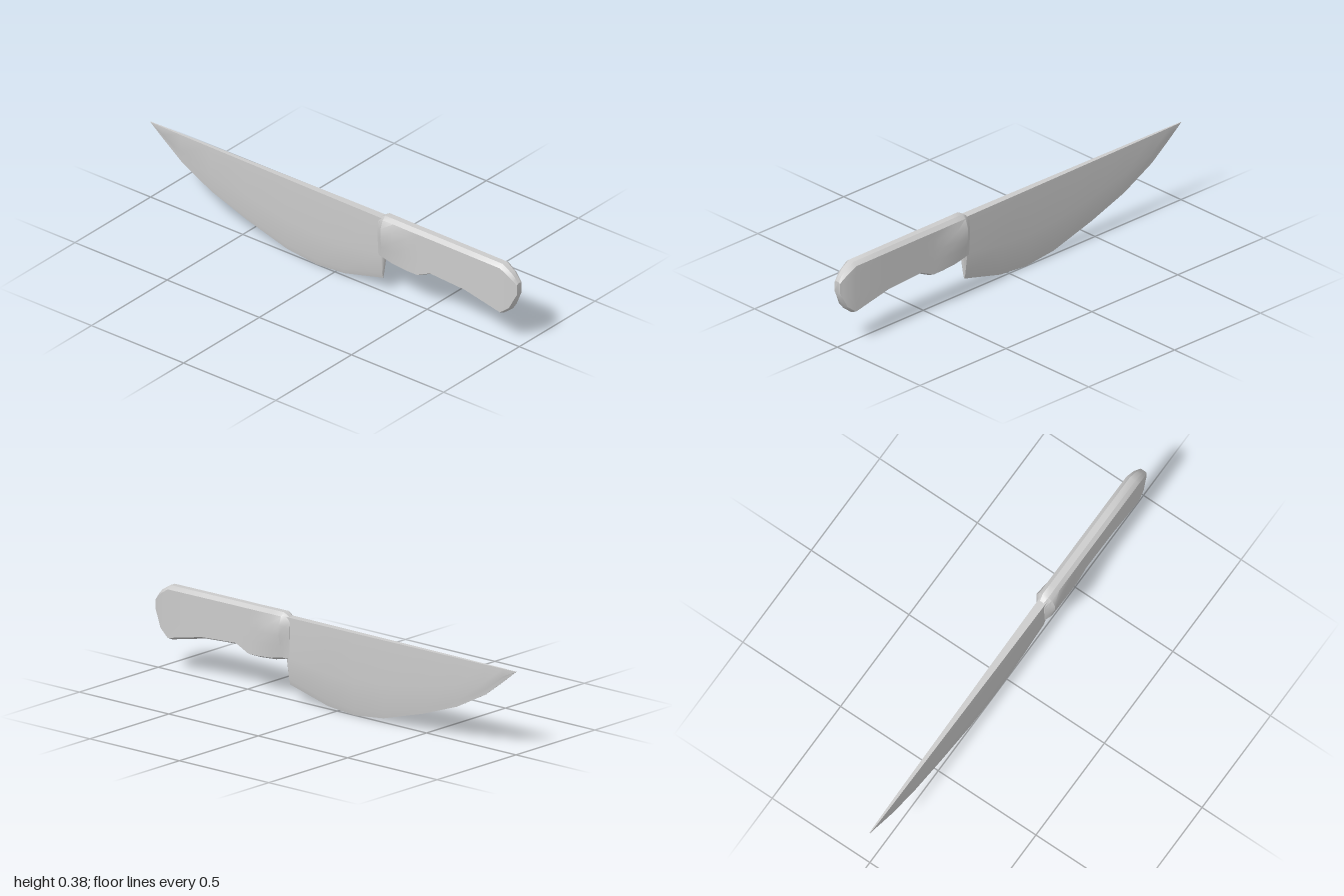
import * as THREE from 'three';
import { toCreasedNormals } from 'three/addons/utils/BufferGeometryUtils.js';

// Skin a row of stations running towards -z. Each station is { z, half }, where
// half lists the [x, y] points of the +x side from top to bottom; it is mirrored.
function loft(stations, crease) {
  const position = [], index = [];
  let n = 0;
  for (const { z, half } of stations) {
    const mirrored = half.filter((p) => p[0] > 0).reverse().map(([x, y]) => [-x, y]);
    const ring = [...half, ...mirrored];
    n = ring.length;
    for (const [x, y] of ring) position.push(x, y, z);
  }
  const last = (stations.length - 1) * n;
  for (let s = 0; s < last; s += n) {
    for (let j = 0; j < n; j++) {
      const k = (j + 1) % n;
      index.push(s + j, s + k, s + n + j, s + k, s + n + k, s + n + j);
    }
  }
  // end caps
  for (let j = 1; j < n - 1; j++) {
    index.push(0, j + 1, j, last, last + j, last + j + 1);
  }
  const geometry = new THREE.BufferGeometry();
  geometry.setAttribute('position', new THREE.Float32BufferAttribute(position, 3));
  geometry.setIndex(index);
  return toCreasedNormals(geometry, crease);
}

// Blade section: flat spine, slightly full sides, ground bevel down to the edge
function bladeStation([z, edge, w]) {
  const top = 0.363, h = top - edge;
  const bevel = Math.min(0.024, h * 0.3);
  return {
    z,
    half: [[w, top], [w * 1.1, edge + h * 0.42], [w * 0.4, edge + bevel], [0.0005, edge]],
  };
}

// Handle section: ridged back, bulging cheeks, shallow ridged belly
function handleStation([z, top, bottom, w, bulge]) {
  const h = top - bottom;
  const upper = top - Math.min(0.024, h * 0.15), lower = bottom + Math.min(0.013, h * 0.1);
  const at = (t) => upper + (lower - upper) * t;
  const mix = (t) => w + (bulge - w) * t;
  return {
    z,
    half: [
      [w * 0.45, top - 0.009 * Math.min(1, h / 0.2)], [w, upper],
      [mix(0.9), at(0.2)], [bulge, at(0.45)], [mix(0.5), at(0.7)],
      [w, lower], [0.0005, bottom],
    ],
  };
}

export function createModel() {
  const group = new THREE.Group();
  group.name = 'knife';
  const material = new THREE.MeshStandardMaterial({ color: 0xcccccc });

  function add(name, geometry) {
    const mesh = new THREE.Mesh(geometry, material);
    mesh.name = name;
    group.add(mesh);
  }

  // z, cutting edge height, half width of the spine
  const bladeRows = [
    [0.277, 0.17, 0.018], [0.262, 0.066, 0.018], [0.05, 0.012, 0.016],
    [-0.1, 0, 0.0145], [-0.26, 0.018, 0.0125], [-0.48, 0.08, 0.01],
    [-0.67, 0.147, 0.008], [-0.83, 0.23, 0.006], [-0.93, 0.305, 0.004],
    [-1, 0.361, 0.002],
  ];
  add('blade', loft(bladeRows.map(bladeStation), 0.5));

  // z, back height, belly height, half width at the edges, half width of the cheeks
  const handleRows = [
    [1, 0.31, 0.25, 0.016, 0.016], [0.985, 0.335, 0.215, 0.02, 0.02],
    [0.965, 0.358, 0.172, 0.026, 0.026], [0.92, 0.386, 0.137, 0.031, 0.031],
    [0.73, 0.387, 0.177, 0.031, 0.031], [0.54, 0.388, 0.188, 0.031, 0.031],
    [0.47, 0.388, 0.155, 0.031, 0.031], [0.42, 0.388, 0.155, 0.031, 0.033],
    [0.34, 0.389, 0.161, 0.031, 0.042], [0.285, 0.389, 0.174, 0.032, 0.048],
    [0.268, 0.38, 0.172, 0.026, 0.034], [0.248, 0.365, 0.17, 0.018, 0.02],
  ];
  add('handle', loft(handleRows.map(handleStation), 0.55));

  return group;
}
